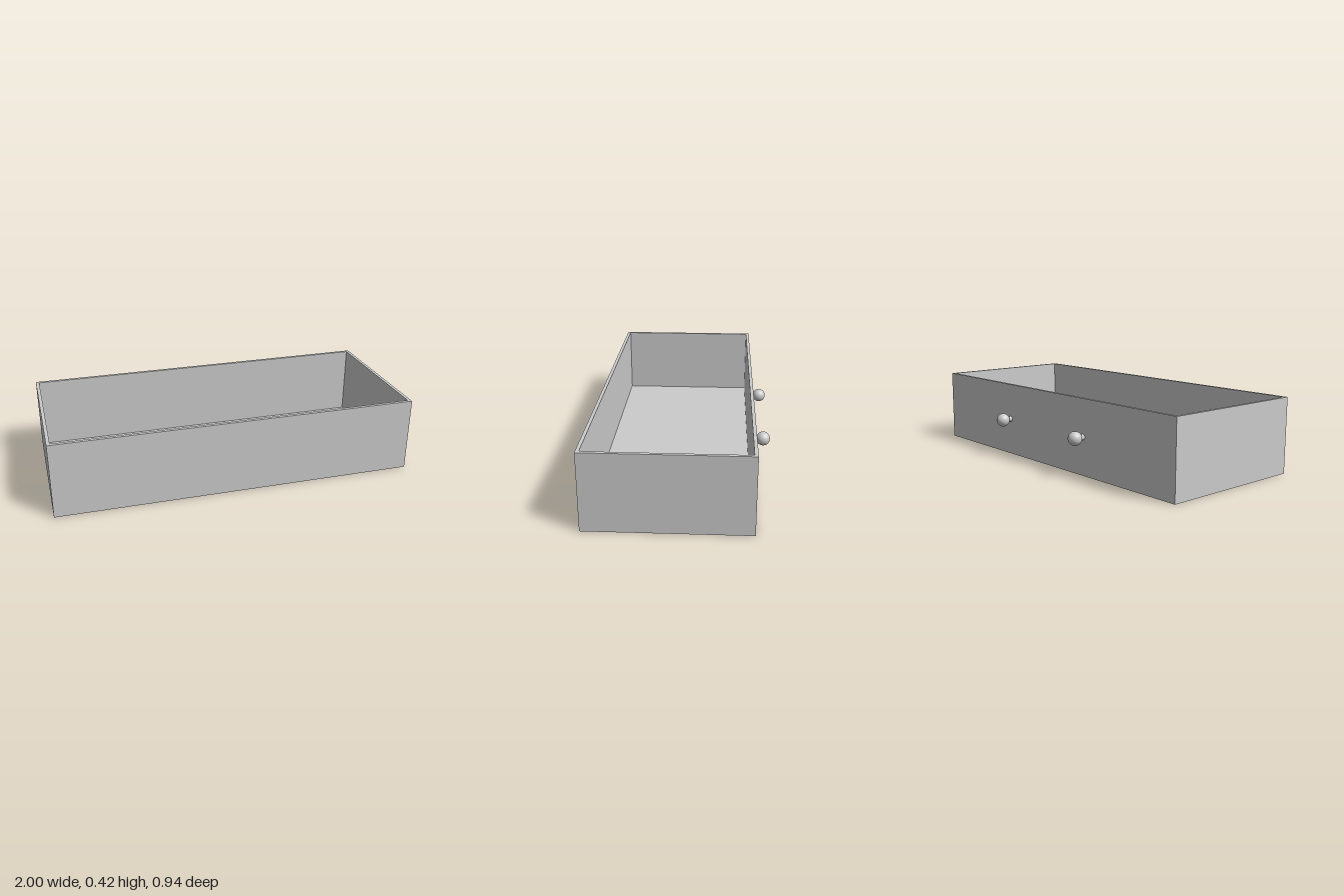
import * as THREE from 'three';

const W = 2, H = 0.416, WALL = 0.018, FLOOR = 0.018;
const Z_BACK = -0.377, Z_FRONT = 0.469;
const DEPTH = Z_FRONT - Z_BACK, Z_MID = (Z_FRONT + Z_BACK) / 2;
const KNOB_X = 0.333, KNOB_Y = 0.21, KNOB_Z = -0.431, KNOB_R = 0.038;

const material = new THREE.MeshStandardMaterial({ color: 0xcccccc });

function addMesh(parent, name, geometry, x, y, z) {
  const mesh = new THREE.Mesh(geometry, material);
  mesh.name = name;
  mesh.position.set(x, y, z);
  parent.add(mesh);
  return mesh;
}

// Rectangle centred on the origin
function rectangle(PathType, w, d) {
  return new PathType([[-w, -d], [w, -d], [w, d], [-w, d]]
    .map(([x, y]) => new THREE.Vector2(x / 2, y / 2)));
}

export function createModel() {
  const drawer = new THREE.Group();
  drawer.name = 'drawer';

  // Four walls as one open frame, extruded upwards
  const frame = rectangle(THREE.Shape, W, DEPTH);
  frame.holes.push(rectangle(THREE.Path, W - 2 * WALL, DEPTH - 2 * WALL));
  const walls = new THREE.ExtrudeGeometry(frame, { depth: H, bevelEnabled: false });
  walls.rotateX(-Math.PI / 2);
  addMesh(drawer, 'walls', walls, 0, 0, Z_MID);

  // Floor panel fitted between the walls
  const floor = new THREE.BoxGeometry(W - 2 * WALL, FLOOR, DEPTH - 2 * WALL);
  addMesh(drawer, 'floor', floor, 0, FLOOR / 2, Z_MID);

  // Two round knobs on short stems
  const stemLength = Z_BACK - KNOB_Z;
  for (const side of [-1, 1]) {
    const knob = new THREE.Group();
    knob.name = side > 0 ? 'leftKnob' : 'rightKnob';
    knob.position.set(side * KNOB_X, KNOB_Y, KNOB_Z);
    const stem = new THREE.CylinderGeometry(0.016, 0.016, stemLength, 32);
    stem.rotateX(Math.PI / 2);
    addMesh(knob, 'knobStem', stem, 0, 0, stemLength / 2);
    addMesh(knob, 'knobBall', new THREE.SphereGeometry(KNOB_R, 32, 24), 0, 0, 0);
    drawer.add(knob);
  }
  return drawer;
}
